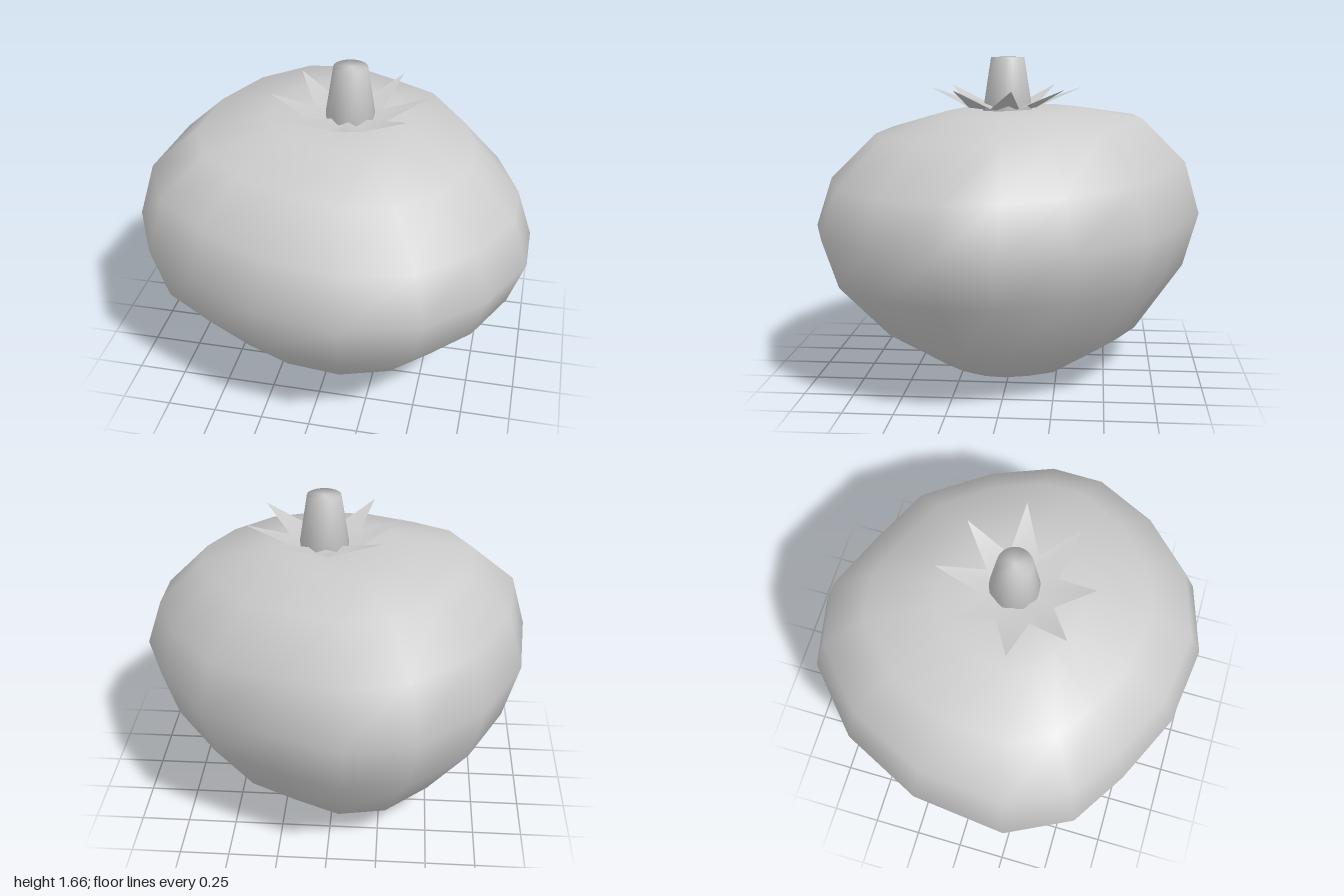
import * as THREE from 'three';
import { mergeVertices } from 'three/addons/utils/BufferGeometryUtils.js';

const grey = new THREE.MeshStandardMaterial({ color: 0xcccccc });
const greyThin = new THREE.MeshStandardMaterial({ color: 0xcccccc, side: THREE.DoubleSide });
const STEM = { x: 0.06, z: 0.01 };

// Uneven outline of the fruit at its widest, [x, z]
const OUTLINE = [
  [1, -0.02], [1, 0.27], [0.84, 0.6], [0.57, 0.87], [0.21, 0.985], [-0.2, 0.93], [-0.56, 0.76], [-0.84, 0.58],
  [-1, 0.26], [-0.95, -0.22], [-0.75, -0.63], [-0.43, -0.92], [-0.08, -0.99], [0.25, -0.86], [0.6, -0.7], [0.86, -0.35],
];

// Rings from bottom to top: [outline scale, height, tilt along x, tilt along z, shift toward stem]
const RINGS = [
  [0, 0, 0, 0, 0.7],
  [0.35, 0.06, 0.03, 0.04, 0.4],
  [0.67, 0.25, 0.02, 0.04, 0],
  [0.92, 0.56, 0.01, -0.01, 0],
  [1, 0.83, -0.02, -0.015, 0],
  [0.92, 1.09, -0.045, -0.03, 0],
  [0.69, 1.315, -0.03, -0.045, 0],
  [0.36, 1.39, -0.03, -0.03, 0.2],
  [0.17, 1.405, -0.01, -0.02, 0.8],
  [0, 1.375, 0, 0, 1],
];

// Smooth normals shared across every edge
function weld(geometry) {
  geometry.deleteAttribute('normal');
  geometry.deleteAttribute('uv');
  const welded = mergeVertices(geometry, 1e-4);
  welded.computeVertexNormals();
  return welded;
}

function fruitGeometry() {
  const positions = [], index = [], n = OUTLINE.length;
  for (const [scale, y, tiltX, tiltZ, shift] of RINGS) {
    for (const [ox, oz] of OUTLINE) {
      const x = ox * scale, z = oz * scale;
      positions.push(x + STEM.x * shift, y + x * tiltX + z * tiltZ, z + STEM.z * shift);
    }
  }
  for (let r = 0; r < RINGS.length - 1; r++) {
    for (let i = 0; i < n; i++) {
      const a = r * n + i, b = r * n + (i + 1) % n, c = a + n, d = b + n;
      if (r > 0) index.push(a, c, b);
      if (r < RINGS.length - 2) index.push(b, c, d);
    }
  }
  const geometry = new THREE.BufferGeometry();
  geometry.setAttribute('position', new THREE.Float32BufferAttribute(positions, 3));
  geometry.setIndex(index);
  return weld(geometry);
}

// Eight-pointed star of sepals: [x, z], tip and notch by turns
function calyxGeometry() {
  const star = [
    [0.01, -0.37], [-0.03, -0.13], [-0.24, -0.22], [-0.13, -0.03], [-0.33, 0.08], [-0.11, 0.13], [-0.18, 0.33], [0, 0.22],
    [0.1, 0.4], [0.15, 0.2], [0.38, 0.25], [0.24, 0.08], [0.45, -0.04], [0.21, -0.06], [0.28, -0.29], [0.1, -0.14],
  ];
  const positions = [STEM.x, 1.385, STEM.z], index = [], n = star.length;
  star.forEach(([x, z], i) => positions.push(x, i % 2 ? 1.415 : 1.515, z));
  for (let i = 0; i < n; i++) index.push(0, 1 + i, 1 + (i + 1) % n);
  const geometry = new THREE.BufferGeometry();
  geometry.setAttribute('position', new THREE.Float32BufferAttribute(positions, 3));
  geometry.setIndex(index);
  geometry.computeVertexNormals();
  return geometry;
}

export function createModel() {
  const model = new THREE.Group();
  model.name = 'tomato';
  const add = (name, geometry, material) => {
    const mesh = new THREE.Mesh(geometry, material);
    mesh.name = name;
    model.add(mesh);
    return mesh;
  };

  add('fruit', fruitGeometry(), grey);
  add('calyx', calyxGeometry(), greyThin);

  // Tapered stem with softly shaded ends
  const bottom = 1.375, top = 1.665;
  const stem = add('stem', weld(new THREE.CylinderGeometry(0.085, 0.13, top - bottom, 32)), grey);
  stem.position.set(STEM.x, (bottom + top) / 2, STEM.z);

  return model;
}
